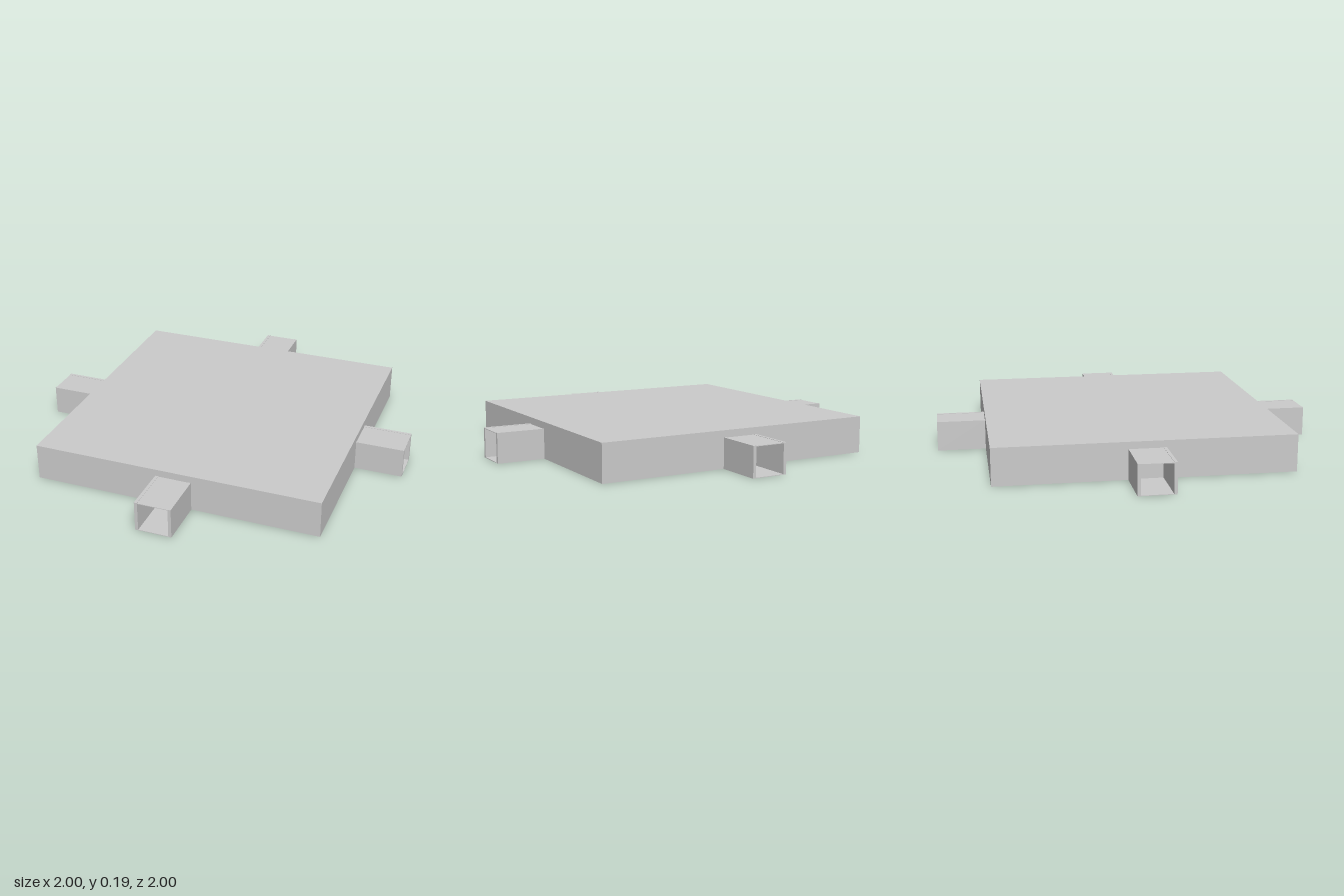
import * as THREE from 'three';

const ROOM = 1.5, ROOM_H = 0.19;
const LENGTH = 0.25, WIDTH = 0.188, HEIGHT = 0.155, WALL = 0.016, SKIN = 0.003;

const material = new THREE.MeshStandardMaterial({ color: 0xcccccc, flatShading: true });

function box(name, w, h, d, x, y, z) {
  const mesh = new THREE.Mesh(new THREE.BoxGeometry(w, h, d), material);
  mesh.name = name;
  mesh.position.set(x, y, z);
  return mesh;
}

// Open-ended passage reaching out along +z from the room wall
function createPassage() {
  const passage = new THREE.Group();
  passage.name = 'passage';
  const z = ROOM / 2 + LENGTH / 2;
  const inner = WIDTH - 2 * WALL;
  for (const side of [-1, 1]) {
    passage.add(box('passageWall', WALL, HEIGHT, LENGTH, side * (WIDTH - WALL) / 2, HEIGHT / 2, z));
  }
  passage.add(box('passageFloor', inner, SKIN, LENGTH, 0, SKIN / 2, z));
  // ceiling sits just below the wall tops
  passage.add(box('passageCeiling', inner, SKIN, LENGTH, 0, HEIGHT - SKIN, z));
  return passage;
}

export function createModel() {
  const model = new THREE.Group();
  model.name = 'roomWithPassages';

  // Square room block
  model.add(box('room', ROOM, ROOM_H, ROOM, 0, ROOM_H / 2, 0));

  // One passage in the middle of each side
  for (let i = 0; i < 4; i++) {
    const passage = createPassage();
    passage.rotation.y = i * Math.PI / 2;
    model.add(passage);
  }
  return model;
}
